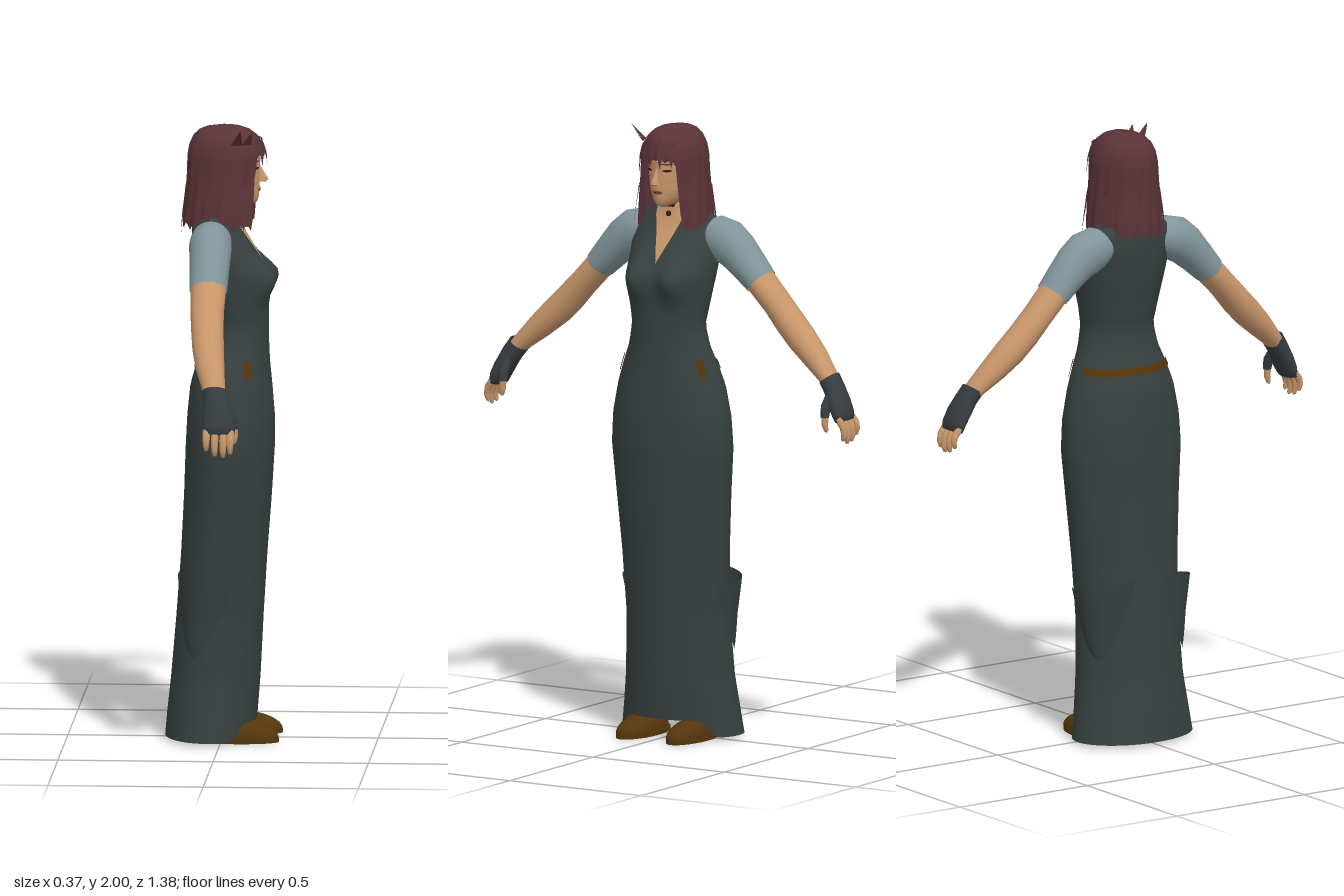
import * as THREE from 'three';
import { mergeVertices } from 'three/addons/utils/BufferGeometryUtils.js';

const mat = (name, color) => new THREE.MeshStandardMaterial({ name, color, side: THREE.DoubleSide });
const lerp = THREE.MathUtils.lerp, smooth = THREE.MathUtils.smoothstep, RAD = Math.PI / 180;

// Cross-sections: [y, back x, front x, half width in z]
const BODY = [
  [0.0, -0.187, 0.105, 0.215], [0.1, -0.178, 0.112, 0.2], [0.2, -0.167, 0.12, 0.186], [0.4, -0.15, 0.13, 0.176],
  [0.6, -0.135, 0.142, 0.185], [0.8, -0.125, 0.157, 0.2], [0.95, -0.12, 0.166, 0.213], [1.05, -0.115, 0.166, 0.207],
  [1.15, -0.105, 0.158, 0.187], [1.22, -0.085, 0.151, 0.163], [1.28, -0.066, 0.148, 0.138], [1.35, -0.056, 0.148, 0.124],
  [1.45, -0.075, 0.146, 0.142], [1.52, -0.09, 0.136, 0.153], [1.6, -0.1, 0.095, 0.16], [1.66, -0.1, 0.058, 0.158],
  [1.69, -0.095, 0.045, 0.14], [1.715, -0.085, 0.038, 0.1], [1.75, -0.06, 0.034, 0.05],
];
const HEAD = [
  [1.735, 0.06, 0.09, 0.008], [1.742, 0.0, 0.108, 0.026], [1.76, -0.05, 0.115, 0.044], [1.79, -0.075, 0.117, 0.06],
  [1.83, -0.085, 0.118, 0.068], [1.865, -0.09, 0.118, 0.071], [1.9, -0.09, 0.122, 0.071], [1.95, -0.08, 0.09, 0.06],
];
const HAIR = [
  [1.64, -0.126, 0.13, 0.12], [1.7, -0.125, 0.13, 0.118], [1.78, -0.118, 0.128, 0.112], [1.84, -0.115, 0.129, 0.106],
  [1.9, -0.114, 0.131, 0.103], [1.935, -0.108, 0.125, 0.095], [1.96, -0.096, 0.11, 0.082], [1.98, -0.075, 0.085, 0.062],
  [1.991, -0.045, 0.052, 0.036], [1.996, 0.0, 0.01, 0.004],
];

function section(rows, y) {
  let i = 0;
  while (i < rows.length - 2 && y > rows[i + 1][0]) i++;
  const t = THREE.MathUtils.clamp((y - rows[i][0]) / (rows[i + 1][0] - rows[i][0]), 0, 1);
  return [1, 2, 3].map(k => lerp(rows[i][k], rows[i + 1][k], t));
}

// Point on a sectioned surface; angle 0 looks along +x
function onSurface(rows, a, y, off = 0) {
  const [back, front, hz] = section(rows, y), c = (back + front) / 2;
  const z = hz * Math.sin(a);
  let x = c + (front - back) / 2 * Math.cos(a);
  if (rows === BODY && Math.cos(a) > 0)
    for (const s of [-1, 1])
      x += 0.05 * Math.exp(-(((z - s * 0.075) / 0.05) ** 2) - ((y - 1.505) / 0.06) ** 2) * smooth(Math.cos(a), 0, 0.5);
  return [x + off * Math.cos(a), y, z + off * Math.sin(a)];
}

// Smooth surface from a function of u and v
function grid(nu, nv, fn, flip = false) {
  const pos = [], idx = [];
  for (let j = 0; j <= nv; j++) for (let i = 0; i <= nu; i++) pos.push(...fn(i / nu, j / nv));
  for (let j = 0; j < nv; j++) for (let i = 0; i < nu; i++) {
    const a = j * (nu + 1) + i, b = a + 1, c = a + nu + 1, d = c + 1;
    if (flip) idx.push(a, b, c, b, d, c); else idx.push(a, c, b, b, c, d);
  }
  let g = new THREE.BufferGeometry();
  g.setAttribute('position', new THREE.Float32BufferAttribute(pos, 3));
  g.setIndex(idx);
  g = mergeVertices(g, 1e-5);
  g.computeVertexNormals();
  return g;
}

// Tapered limb; points are [x, y, z, radius in x, radius across], side mirrors z
function limb(pts, side, nu = 16) {
  return grid(nu, pts.length - 1, (u, v) => {
    const k = Math.round(v * (pts.length - 1)), p = pts[k];
    const a = pts[Math.max(k - 1, 0)], b = pts[Math.min(k + 1, pts.length - 1)];
    const l = Math.hypot(b[1] - a[1], b[2] - a[2]) || 1, ty = (b[1] - a[1]) / l, tz = (b[2] - a[2]) / l;
    const c = Math.cos(u * 2 * Math.PI) * p[3], s = Math.sin(u * 2 * Math.PI) * p[4];
    return [p[0] + c, p[1] - tz * s, side * (p[2] + ty * s)];
  }, side < 0);
}

export function createModel() {
  const root = new THREE.Group();
  const dress = mat('charcoal dress', 0x374040), skin = mat('skin', 0xc8966a), sleeveMat = mat('grey blue sleeve', 0x80959a);
  const hairMat = mat('auburn hair', 0x5a3338), leather = mat('brown leather', 0x54360c), glove = mat('dark glove', 0x363c40);
  const dark = mat('dark line', 0x2c1c18), lip = mat('lip', 0x8f5a48);
  const add = (name, g, m, parent = root) => {
    const mesh = new THREE.Mesh(g, m);
    mesh.name = name;
    parent.add(mesh);
    return mesh;
  };

  // Long dress, hem lifted over the toes
  add('dress', grid(72, 80, (u, v) => {
    const a = u * 2 * Math.PI, hem = 0.01 + 0.055 * smooth(Math.cos(a), 0.5, 0.8);
    return onSurface(BODY, a, lerp(hem, 1.75, v));
  }), dress);

  // V neckline and neck
  add('neckline', grid(10, 20, (u, v) => {
    const y = lerp(1.555, 1.748, v), w = Math.min(0.05 * v / 0.75, 0.05);
    const a = Math.asin(Math.min(w / section(BODY, y)[2], 0.9));
    return onSurface(BODY, lerp(-a, a, u), y, 0.005);
  }), skin);
  add('neck', new THREE.CylinderGeometry(0.046, 0.05, 0.12, 24), skin).position.set(-0.008, 1.74, 0);
  const choker = add('choker', new THREE.CylinderGeometry(0.05, 0.051, 0.012, 24, 1, true), dark);
  choker.position.set(-0.008, 1.735, 0);
  add('pendant', new THREE.SphereGeometry(0.009, 10, 8), dark).position.set(0.048, 1.708, 0);

  // Belt around the back
  add('belt', grid(30, 2, (u, v) =>
    onSurface(BODY, lerp(105, 255, u) * RAD, lerp(1.208, 1.232, v), 0.004)), leather);

  // Head and face
  const head = new THREE.Group();
  head.name = 'head';
  root.add(head);
  add('face', grid(36, 24, (u, v) => onSurface(HEAD, u * 2 * Math.PI, lerp(1.735, 1.95, v))), skin, head);
  const nose = add('nose', new THREE.ConeGeometry(0.015, 0.058, 10), skin, head);
  nose.scale.x = 1.3;
  nose.position.set(0.122, 1.841, 0);
  nose.rotation.z = 0.2;
  add('noseTip', new THREE.SphereGeometry(0.012, 12, 8), skin, head).position.set(0.132, 1.821, 0);
  // Thin facial strip that follows the face
  const strip = (name, deg0, deg1, y, h, m) => add(name, grid(10, 2, (u, v) =>
    onSurface(HEAD, lerp(deg0, deg1, u) * RAD, y + (v - 0.5) * h * Math.sin(Math.PI * lerp(0.12, 0.88, u)), 0.003)), m, head);
  strip('mouth', -19, 19, 1.786, 0.014, lip);
  strip('mouthLine', -17, 17, 1.786, 0.003, dark);
  for (const s of [-1, 1]) {
    strip('eye', s * 27 - 11, s * 27 + 11, 1.858, 0.008, dark);
    strip('eyebrow', s * 27 - 14, s * 27 + 14, 1.88, 0.005, hairMat);
  }

  // Hair shell with open face and ragged ends
  add('hair', grid(96, 36, (u, v) => {
    const deg = u * 360 - 180, jag = Math.sin(u * 150) * 0.5 + Math.sin(u * 67 + 1) * 0.5;
    const open = 1 - smooth(Math.abs(deg), 36, 43);
    const low = lerp(1.672 + 0.014 * jag, 1.893 + 0.012 * jag, open);
    const y = lerp(low, 1.996, v);
    const wave = 0.004 * Math.sin(deg * RAD * 16 + y * 12) * (1 - v);
    return onSurface(HAIR, deg * RAD, y, wave);
  }), hairMat);
  // Loose locks: [angle, top y, tip y, tip offset]
  const locks = [[-30, 1.95, 1.87, 0.006], [-12, 1.95, 1.865, 0.01], [6, 1.95, 1.87, 0.008], [24, 1.95, 1.865, 0.008],
    [40, 1.94, 1.84, 0.006], [-42, 1.94, 1.84, 0.006], [70, 1.94, 1.993, 0.045], [52, 1.94, 1.985, 0.03], [-60, 1.8, 1.66, 0.012],
    [60, 1.8, 1.66, 0.012], [110, 1.8, 1.65, 0.01], [-110, 1.8, 1.65, 0.01], [165, 1.8, 1.645, 0.008], [-150, 1.8, 1.65, 0.008]];
  for (const [deg, y0, y1, off] of locks)
    add('hairLock', grid(4, 8, (u, v) => {
      const p = onSurface(HAIR, (deg + (u - 0.5) * 18 * (1 - v)) * RAD, Math.min(lerp(y0, y1, v), 1.94), 0.004 + off * v);
      p[1] = lerp(y0, y1, v);
      return p;
    }, y1 < y0), hairMat);

  for (const s of [1, -1]) {
    // Arm with sleeve, fingerless glove and fingers
    const arm = new THREE.Group();
    arm.name = s > 0 ? 'armPlusZ' : 'armMinusZ';
    root.add(arm);
    add('sleeve', limb([[-0.03, 1.635, 0.1, 0.05, 0.05], [-0.03, 1.635, 0.135, 0.066, 0.068], [-0.03, 1.622, 0.175, 0.069, 0.073],
      [-0.028, 1.594, 0.215, 0.066, 0.067], [-0.028, 1.55, 0.26, 0.063, 0.058], [-0.028, 1.503, 0.305, 0.061, 0.05]], s, 24), sleeveMat, arm);
    add('arm', limb([[-0.028, 1.54, 0.27, 0.054, 0.045], [-0.028, 1.503, 0.305, 0.057, 0.046], [-0.028, 1.44, 0.365, 0.054, 0.045],
      [-0.024, 1.385, 0.415, 0.052, 0.048], [-0.018, 1.335, 0.465, 0.051, 0.048], [-0.008, 1.28, 0.525, 0.046, 0.041],
      [0.006, 1.23, 0.578, 0.038, 0.031], [0.014, 1.2, 0.605, 0.034, 0.027]], s, 20), skin, arm);
    add('glove', limb([[0.012, 1.222, 0.59, 0.04, 0.034], [0.018, 1.19, 0.613, 0.041, 0.033], [0.025, 1.15, 0.635, 0.052, 0.03],
      [0.028, 1.115, 0.652, 0.054, 0.026], [0.028, 1.092, 0.66, 0.05, 0.02], [0.028, 1.088, 0.661, 0.001, 0.001]], s), glove, arm);
    add('thumbGlove', limb([[0.05, 1.175, 0.615, 0.012, 0.014], [0.07, 1.14, 0.614, 0.018, 0.017],
      [0.077, 1.105, 0.613, 0.014, 0.014]], s, 10), glove, arm);
    add('thumb', limb([[0.075, 1.115, 0.613, 0.012, 0.012], [0.077, 1.08, 0.614, 0.011, 0.011], [0.075, 1.06, 0.618, 0.007, 0.007],
      [0.074, 1.055, 0.619, 0.0005, 0.0005]], s, 10), skin, arm);
    [[-0.011, 0.025], [0.016, 0.008], [0.043, 0.004], [0.066, 0.015]].forEach(([x, up], i) =>
      add('finger' + (i + 1), limb([[x, 1.108, 0.654, 0.0125, 0.0125], [x, 1.07 + up / 2, 0.676, 0.012, 0.012],
        [x, 1.038 + up, 0.681, 0.01, 0.01], [x, 1.02 + up, 0.676, 0.007, 0.007], [x, 1.015 + up, 0.674, 0.0005, 0.0005]], s, 10), skin, arm));

    // Hip tag
    add('hipTag', grid(3, 4, (u, v) =>
      onSurface(BODY, s * lerp(57, 67 + 4 * v, u) * RAD, lerp(1.19, 1.245, v), 0.005), s < 0), leather);

    // Pointed flared pouch low on the skirt
    add('skirtPouch', grid(20, 14, (u, v) => {
      const half = 46 * Math.pow(v, 0.65), a = 118 + (u * 2 - 1) * half;
      const off = 0.004 + 0.036 * Math.pow(v, 0.8) * Math.sin(Math.PI * u);
      return onSurface(BODY, s * a * RAD, lerp(0.28, lerp(0.5, 0.545, u), v), off);
    }, s < 0), dress);

    // Rounded shoe with flat sole
    const shoe = grid(24, 12, (u, v) => {
      const a = u * 2 * Math.PI, r = Math.sqrt(Math.max(0, 1 - v * v));
      const x = Math.cos(a) * r, z = Math.sin(a) * r;
      return [0.05 + 0.135 * x, 0.014 + 0.058 * v * (1 - 0.12 * x), s * 0.095 + z * (0.052 + 0.01 * x)];
    });
    add('shoe', shoe, leather);
    const sole = add('sole', new THREE.CylinderGeometry(1, 1, 0.014, 24), leather);
    sole.scale.set(0.136, 1, 0.058);
    sole.position.set(0.05, 0.007, s * 0.095);
  }
  return root;
}
